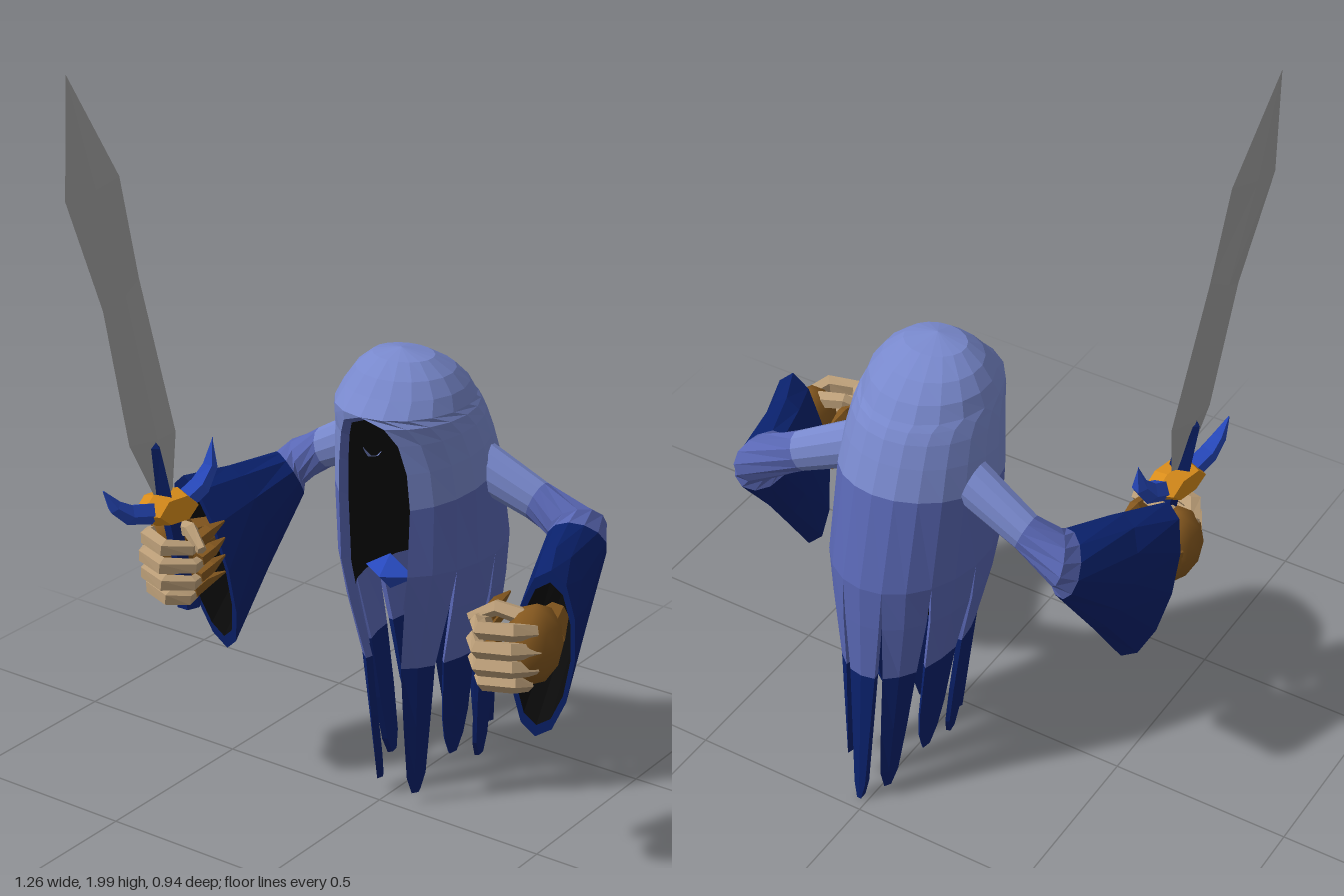
import * as THREE from 'three';

const V = (x, y, z) => new THREE.Vector3(x, y, z);
const mat = (name, color) => new THREE.MeshStandardMaterial({ name, color, side: THREE.DoubleSide });
const M = {
  light: mat('hood blue', 0x7888cc),
  mid: mat('robe blue', 0x5967b4),
  navy: mat('navy hem', 0x0a216c),
  bright: mat('bright blue', 0x2749bd),
  black: mat('shadow black', 0x0b0b0b),
  gold: mat('gold', 0xd98c1a),
  brown: mat('glove brown', 0x85581f),
  tan: mat('bone tan', 0xbb9e78),
  steel: mat('steel', 0xa2a2a2),
};

// Faceted surface through a grid of points
function loft(rows, closed = false) {
  const pos = [];
  const n = rows[0].length;
  for (let i = 0; i + 1 < rows.length; i++) {
    for (let j = 0; j < (closed ? n : n - 1); j++) {
      const k = (j + 1) % n;
      const [a, b, c, d] = [rows[i][j], rows[i + 1][j], rows[i + 1][k], rows[i][k]];
      for (const p of [a, b, c, a, c, d]) pos.push(p.x, p.y, p.z);
    }
  }
  const g = new THREE.BufferGeometry();
  g.setAttribute('position', new THREE.Float32BufferAttribute(pos, 3));
  g.computeVertexNormals();
  return g;
}

function add(parent, name, geometry, material) {
  const m = new THREE.Mesh(geometry, material);
  m.name = name;
  parent.add(m);
  return m;
}

// Elliptical ring around c with half axes p and q
function ring(c, p, q, n = 8, s = 1) {
  return Array.from({ length: n }, (_, i) => {
    const a = (i / n) * Math.PI * 2;
    return c.clone().addScaledVector(p, Math.cos(a) * s).addScaledVector(q, Math.sin(a) * s);
  });
}

// Tapered rod through points, with one radius per point
function rod(pts, radii, sides = 5) {
  const rows = pts.map((c, i) => {
    const t = pts[Math.min(i + 1, pts.length - 1)].clone().sub(pts[Math.max(i - 1, 0)]).normalize();
    const p = V(0, 1, 0).cross(t);
    if (p.length() < 0.3) p.set(1, 0, 0);
    p.normalize();
    const q = t.clone().cross(p);
    return ring(c, p.multiplyScalar(radii[i]), q.multiplyScalar(radii[i]), sides);
  });
  const cap = (c) => Array(sides).fill(c);
  return loft([cap(pts[0]), ...rows, cap(pts[pts.length - 1])], true);
}

// Robe profile: level, front z, back z, half width, rise at the back, half angle of the opening
const ROBE = [
  [1.29, -0.06, -0.06, 0, 0, 0], [1.272, 0.0, -0.14, 0.085, 0, 0],
  [1.235, 0.045, -0.205, 0.132, 0, 0], [1.195, 0.08, -0.25, 0.16, 0, 0],
  [1.155, 0.12, -0.28, 0.174, 0, 0], [1.13, 0.116, -0.295, 0.18, 0.01, 0.35],
  [1.08, 0.104, -0.312, 0.188, 0.035, 0.49], [1.0, 0.098, -0.337, 0.198, 0.06, 0.56],
  [0.9, 0.096, -0.37, 0.206, 0.08, 0.57], [0.72, 0.098, -0.435, 0.203, 0, 0.54],
  [0.62, 0.08, -0.438, 0.19, 0, 0.47], [0.43, 0.035, -0.44, 0.15, 0, 0.32],
  [0.01, 0.0, -0.465, 0.1, 0, 0.32],
];
const LEVELS = ROBE.map((r) => r[0]);

function robeRow(v) {
  let i = 0;
  while (i < ROBE.length - 2 && ROBE[i + 1][0] > v) i++;
  const t = (ROBE[i][0] - v) / (ROBE[i][0] - ROBE[i + 1][0]);
  return ROBE[i].map((a, k) => a + (ROBE[i + 1][k] - a) * t);
}
function robePoint(v, a, s = 1, drop = 0) {
  const [y, f, b, w, rise] = robeRow(v);
  const c = Math.cos(a);
  return V(0.025 + w * Math.sin(a) * s, y + (rise * (1 - c)) / 2 - drop, (f + b) / 2 + ((f - b) / 2) * c * s);
}
function robeSheet(levels, s, drop, cols = 18) {
  return loft(levels.map((v) => {
    const a0 = robeRow(v)[5];
    return Array.from({ length: cols + 1 }, (_, j) => robePoint(v, a0 + ((Math.PI - a0) * 2 * j) / cols, s, drop));
  }));
}

function buildRobe(g) {
  add(g, 'hood', robeSheet(LEVELS.slice(0, 9), 1, 0), M.light);
  add(g, 'robeBody', robeSheet(LEVELS.slice(8, 10), 1, 0), M.mid);
  add(g, 'hoodLining', robeSheet(LEVELS.slice(0, 11), 0.88, 0.014), M.black);

  // Rim around the face opening
  for (const side of [1, -1]) {
    const rim = LEVELS.slice(4, 11).map((v) => {
      const a = robeRow(v)[5] * side;
      return [robePoint(v, a), robePoint(v, a, 0.88, 0.014)];
    });
    add(g, 'hoodRim', loft(rim), M.mid);
  }

  // Torn strips around the hem, each a thin padded band
  const ends = [0.04, 0.13, 0.06, 0.11, 0.01, 0.05, 0.12, 0.07, 0.05];
  const section = [[-1, 1], [0, 1], [1, 1], [1, 0.9], [0, 0.9], [-1, 0.9]];
  ends.forEach((end, i) => {
    const strip = (list) => loft(list.map(([v, k]) => {
      const a0 = robeRow(v)[5];
      const half = (Math.PI - a0) / ends.length;
      return section.map(([u, s]) => robePoint(v, a0 + half * (2 * i + 1 + u * k), s));
    }), true);
    add(g, 'robeStrip', strip([[0.72, 1], [0.6, 0.92], [0.43, 0.8]]), M.mid);
    add(g, 'robeTatter', strip([[0.43, 0.8], [0.25, 0.68], [end + 0.05, 0.5], [end, 0.2]]), M.navy);
  });

  // Jewel inside the chest
  const gem = add(g, 'chestJewel', new THREE.OctahedronGeometry(1).toNonIndexed(), M.bright);
  gem.scale.set(0.078, 0.05, 0.05);
  gem.position.set(0.02, 0.682, -0.02);
}

// Arm with a wide sleeve; side is 1 for left, dx and dz shift the elbow and beyond
function buildArm(g, side, dx, dz) {
  const R = (c, p, q, kx, kz = kx) => [
    V(c[0] * side + dx * kx, c[1], c[2] + dz * kz), V(p[0] * side, p[1], p[2]), V(q[0] * side, q[1], q[2])];
  const A = R([0.16, 0.975, -0.19], [0, 0, -0.055], [0.02, 0.065, 0], 0);
  const B = R([0.34, 0.89, -0.22], [0, 0, -0.045], [0.02, 0.052, 0], 0.4);
  const C = R([0.45, 0.835, -0.24], [0.048, 0, -0.065], [0.01, 0.06, 0.02], 1);
  const D = R([0.463, 0.805, -0.22], [0.062, 0, -0.04], [0, 0.07, 0.045], 1);
  const E = R([0.5, 0.705, -0.08], [0.077, 0, -0.01], [0.015, 0.165, 0.045], 0.7, 0.9);
  const F = R([0.53, 0.607, 0.04], [0.087, 0, -0.01], [0.04, 0.255, 0.035], 0.45, 0.9);
  const rings = (list, s = 1) => list.map((r) => ring(...r, 12, s));
  const arm = new THREE.Group();
  arm.name = side > 0 ? 'leftArm' : 'rightArm';
  g.add(arm);
  add(arm, 'shoulder', loft(rings([A, B]), true), M.light);
  add(arm, 'upperArm', loft(rings([B, C, D]), true), M.mid);
  add(arm, 'sleeve', loft(rings([D, E, F]), true), M.navy);
  add(arm, 'sleeveRim', loft([ring(...F, 12), ring(...F, 12, 0.86)], true), M.navy);
  add(arm, 'sleeveLining', loft([...rings([F, E, D], 0.86), Array(12).fill(D[0])], true), M.black);
}

// Gloved fist with bony curled fingers
function buildHand(g, side, dx, dz) {
  const hand = new THREE.Group();
  hand.name = side > 0 ? 'leftHand' : 'rightHand';
  hand.position.set(dx, 0, dz);
  g.add(hand);
  const P = (x, y, z) => V(x * side, y, z);
  const glove = add(hand, 'glove', new THREE.IcosahedronGeometry(1, 1), M.brown);
  glove.scale.set(0.068, 0.108, 0.09);
  glove.position.set(0.552 * side, 0.675, 0.12);
  add(hand, 'wrist', rod([P(0.52, 0.69, -0.03), P(0.55, 0.68, 0.08)], [0.035, 0.06], 7), M.brown);
  [0.738, 0.69, 0.64, 0.592].forEach((y, i) => {
    const reach = [0.01, 0.0, 0.006, 0.025][i];
    add(hand, 'finger', rod([
      P(0.59 - reach, y - 0.006, 0.16), P(0.55, y + 0.006, 0.225 - reach), P(0.475, y + 0.002, 0.252 - reach),
      P(0.422 + reach, y - 0.008, 0.19), P(0.43 + reach, y - 0.008, 0.15),
    ], [0.02, 0.025, 0.024, 0.021, 0.016]), M.tan);
    add(hand, 'fingerTip', rod([P(0.428 + reach, y, 0.16), P(0.425 + reach, y + 0.012, 0.11), P(0.432, y + 0.02, 0.045)],
      [0.021, 0.02, 0.003]), M.brown);
  });
  add(hand, 'thumb', rod([P(0.53, 0.75, 0.135), P(0.46, 0.762, 0.15), P(0.4, 0.73, 0.18)], [0.024, 0.022, 0.014]), M.tan);
}

// Sword leaning outwards, its broad side facing sideways
function buildSword(g) {
  const sword = new THREE.Group();
  sword.name = 'sword';
  g.add(sword);
  const S = (z, y, off = 0) => V(-0.505 - 0.2 * (z - 0.25) - 0.08 * (y - 0.87) + off, y, z);
  // rows: front z and y, back z and y, half thickness
  const diamond = (rows) => loft(rows.map(([z1, y1, z2, y2, t]) => {
    const [z, y] = [(z1 + z2) / 2, (y1 + y2) / 2];
    return [S(z1, y1), S(z, y, t), S(z2, y2), S(z, y, -t)];
  }), true);
  add(sword, 'blade', diamond([
    [0.28, 0.85, 0.23, 0.85, 0.014], [0.35, 1.02, 0.2, 1.02, 0.016], [0.39, 1.39, 0.27, 1.45, 0.014],
    [0.47, 1.69, 0.3, 1.72, 0.012], [0.43, 2, 0.43, 2, 0],
  ]), M.steel);
  add(sword, 'bladeCollar', diamond([
    [0.28, 0.85, 0.235, 0.85, 0.03], [0.302, 1.0, 0.256, 1.0, 0.026], [0.28, 1.035, 0.28, 1.035, 0.0],
  ]), M.navy);

  // Six-sided guard block
  const outline = [[0.165, 0.825], [0.21, 0.87], [0.29, 0.87], [0.335, 0.825], [0.29, 0.785], [0.21, 0.785]];
  const face = (off, k) => outline.map(([z, y]) => S(0.25 + (z - 0.25) * k, 0.825 + (y - 0.825) * k, off));
  add(sword, 'guard', loft([face(0.042, 0), face(0.042, 0.75), face(0, 1), face(-0.042, 0.75), face(-0.042, 0)], true), M.gold);

  // Curved horns of the guard
  add(sword, 'guardHorn', rod([S(0.3, 0.825), S(0.375, 0.843), S(0.415, 0.875), S(0.445, 0.925)], [0.03, 0.028, 0.02, 0.002]), M.bright);
  add(sword, 'guardHorn', rod([S(0.2, 0.825), S(0.14, 0.853), S(0.1, 0.9), S(0.082, 0.972)], [0.03, 0.03, 0.022, 0.002]), M.bright);

  add(sword, 'grip', rod([S(0.21, 0.56), S(0.24, 0.8)], [0.024, 0.024], 6), M.navy);
  add(sword, 'pommel', rod([S(0.207, 0.54), S(0.21, 0.575)], [0.034, 0.03], 6), M.navy);
}

export function createModel() {
  const g = new THREE.Group();
  g.name = 'hoodedSpectre';
  buildRobe(g);
  buildArm(g, 1, 0, 0);
  buildArm(g, -1, 0.05, 0.055);
  buildHand(g, 1, 0, 0);
  buildHand(g, -1, 0.01, 0.068);
  buildSword(g);
  return g;
}
